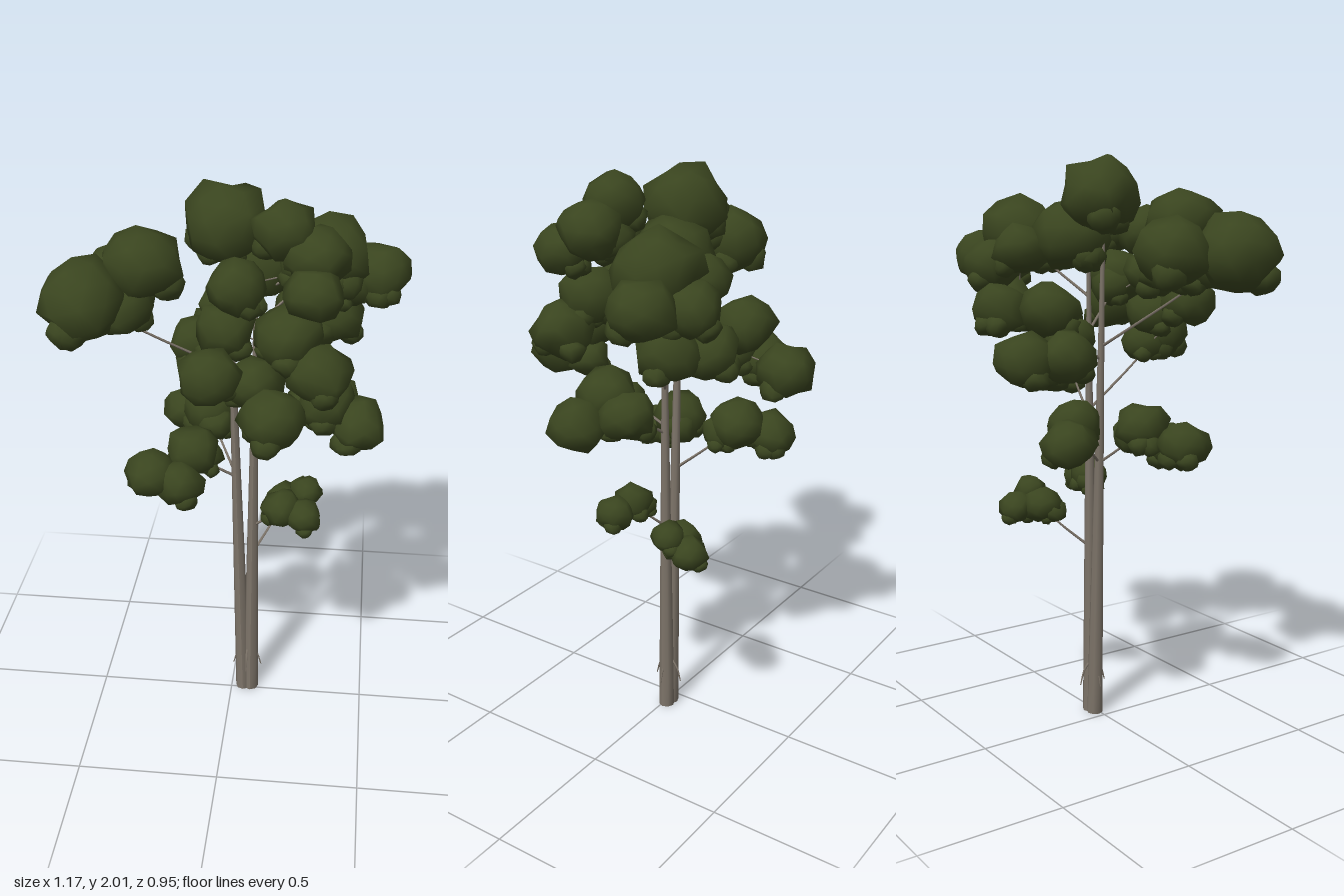
import * as THREE from 'three';
import { mergeVertices } from 'three/addons/utils/BufferGeometryUtils.js';

const V = (p) => new THREE.Vector3(...p);

// Seeded random numbers
function makeRandom(seed) {
  return () => {
    seed = (seed * 1664525 + 1013904223) % 4294967296;
    return seed / 4294967296;
  };
}

// Tube through points that narrows from r0 to r1
function taperedTube(points, r0, r1, segments, sides) {
  const curve = new THREE.CatmullRomCurve3(points);
  const geo = new THREE.TubeGeometry(curve, segments, 1, sides, false);
  const pos = geo.attributes.position;
  const v = new THREE.Vector3();
  for (let i = 0; i <= segments; i++) {
    const centre = curve.getPointAt(i / segments);
    const r = r0 + (r1 - r0) * (i / segments);
    for (let j = 0; j <= sides; j++) {
      const k = i * (sides + 1) + j;
      v.fromBufferAttribute(pos, k).sub(centre).multiplyScalar(r).add(centre);
      pos.setXYZ(k, v.x, v.y, v.z);
    }
  }
  geo.computeVertexNormals();
  return geo;
}

// Lumpy, smooth-shaded leaf mass, a little wider than tall
function leafMass(r, random) {
  let geo = new THREE.IcosahedronGeometry(1, 1);
  geo.deleteAttribute('uv');
  geo.deleteAttribute('normal');
  geo = mergeVertices(geo, 1e-4);
  geo.rotateX(random() * 6).rotateZ(random() * 6);
  const pos = geo.attributes.position;
  for (let i = 0; i < pos.count; i++) {
    const s = r * (0.85 + 0.27 * random());
    pos.setXYZ(i, pos.getX(i) * s * 1.05, pos.getY(i) * s * 0.95, pos.getZ(i) * s * 1.05);
  }
  geo.computeVertexNormals();
  return geo;
}

// Tiers of limbs, each limb given by the centres of its main leaf masses
const TIERS = [
  { name: 'crown', radius: 0.136, limbs: [
    [[-0.44, 1.69, 0.21], [-0.27, 1.78, 0.12], [-0.37, 1.69, 0.01]],
    [[-0.02, 1.88, -0.03], [0.1, 1.74, -0.07]],
    [[0.31, 1.74, -0.15]],
  ] },
  { name: 'upper', radius: 0.106, limbs: [
    [[0.28, 1.83, 0.13], [0.18, 1.905, 0.11], [0.04, 1.75, 0.2], [0.28, 1.75, 0.24]],
    [[0.47, 1.66, -0.21], [0.3, 1.64, -0.26], [0.19, 1.69, -0.22]],
    [[0.2, 1.59, 0.2], [0.3, 1.49, 0.24], [0, 1.61, 0.2]],
  ] },
  { name: 'middle', radius: 0.102, limbs: [
    [[0.16, 1.38, 0.36], [-0.03, 1.51, 0.34], [0.1, 1.46, 0.27]],
    [[0.33, 1.5, -0.2], [0.22, 1.49, -0.28]],
    [[-0.04, 1.5, -0.25], [-0.1, 1.35, -0.38], [-0.16, 1.36, -0.26], [-0.06, 1.4, -0.18]],
    [[0.32, 1.3, 0.05], [0.43, 1.23, 0.08], [0.34, 1.26, -0.05]],
  ] },
  { name: 'lower', radius: 0.092, limbs: [
    [[-0.13, 1.09, 0.07], [-0.26, 1.04, 0.15], [-0.16, 1.02, 0.17]],
    [[-0.1, 1.12, -0.19], [-0.19, 1.08, -0.27]],
  ] },
  { name: 'lowest', radius: 0.067, limbs: [
    [[0.18, 0.87, 0.05], [0.26, 0.85, 0.07]],
    [[0.18, 0.78, -0.15], [0.24, 0.77, -0.22], [0.26, 0.82, -0.15]],
  ] },
];

export function createModel() {
  const model = new THREE.Group();
  model.name = 'tree';
  const bark = new THREE.MeshStandardMaterial({ color: 0x7d7469 });
  bark.name = 'bark';
  const leaves = new THREE.MeshStandardMaterial({ color: 0x3a451f });
  leaves.name = 'leaves';
  const random = makeRandom(7);

  const add = (parent, geo, mat, name) => {
    const mesh = new THREE.Mesh(geo, mat);
    mesh.name = name;
    parent.add(mesh);
    return mesh;
  };

  // Twin trunks with closed feet
  const trunks = [
    { name: 'leftTrunk', base: 0.073, top: 0.08, height: 1.7 },
    { name: 'rightTrunk', base: 0.046, top: -0.01, height: 1.78 },
  ].map(({ name, base, top, height }) => {
    const line = new THREE.LineCurve3(V([base, 0, -0.012]), V([top, height, -0.012]));
    add(model, taperedTube(line.getPoints(3), 0.029, 0.006, 16, 8), bark, name);
    const foot = add(model, new THREE.CircleGeometry(0.029, 8), bark, name + 'Foot');
    foot.rotation.x = Math.PI / 2;
    foot.position.set(base, 0.001, -0.012);
    return { line, height };
  });

  // Drooping bare twigs around the base
  for (let i = 0; i < 4; i++) {
    const a = (i * Math.PI) / 2;
    const at = (r, y) => V([0.06 + Math.cos(a) * r, y, -0.012 + Math.sin(a) * r]);
    add(model, taperedTube([at(0.015, 0.19), at(0.036, 0.165), at(0.053, 0.11)], 0.005, 0.002, 5, 5), bark, 'baseTwig');
  }

  // Leaf mass with small tufts tucked underneath
  const addFoliage = (limb, p, r) => {
    add(limb, leafMass(r, random), leaves, 'foliage').position.copy(p);
    for (let k = 0; k < 2; k++) {
      const a = random() * Math.PI * 2;
      add(limb, leafMass(r * 0.45, random), leaves, 'tuft')
        .position.set(p.x + Math.cos(a) * r * 0.6, p.y - r * 0.55, p.z + Math.sin(a) * r * 0.6);
    }
  };

  // Limbs rise from the nearer trunk and fork into their leaf masses
  TIERS.forEach(({ name, radius, limbs }) => limbs.forEach((centres, n) => {
    const limb = new THREE.Group();
    limb.name = name + 'Limb' + (n + 1);
    model.add(limb);
    const masses = centres.map(V);
    const tip = masses[0];
    const { line, height } = trunks[tip.x > 0.04 ? 0 : 1];
    const reach = Math.hypot(tip.x - 0.04, tip.z);
    const start = line.getPoint((tip.y - 0.04 - 0.55 * reach) / height);
    const fork = start.clone().lerp(tip, 0.65);
    fork.y -= 0.01;
    add(limb, taperedTube([start, fork, tip], 0.0055, 0.003, 8, 5), bark, 'branch');

    masses.forEach((p, i) => {
      if (i > 0) add(limb, taperedTube([fork, p], 0.003, 0.002, 2, 5), bark, 'twig');
      addFoliage(limb, p, radius * (1 - 0.06 * i));
    });
    // Smaller filler mass on the trunk side of the tip
    const filler = tip.clone().lerp(start, 0.25);
    filler.y = tip.y - radius * 0.3;
    addFoliage(limb, filler, radius * 0.72);
  }));
  return model;
}
